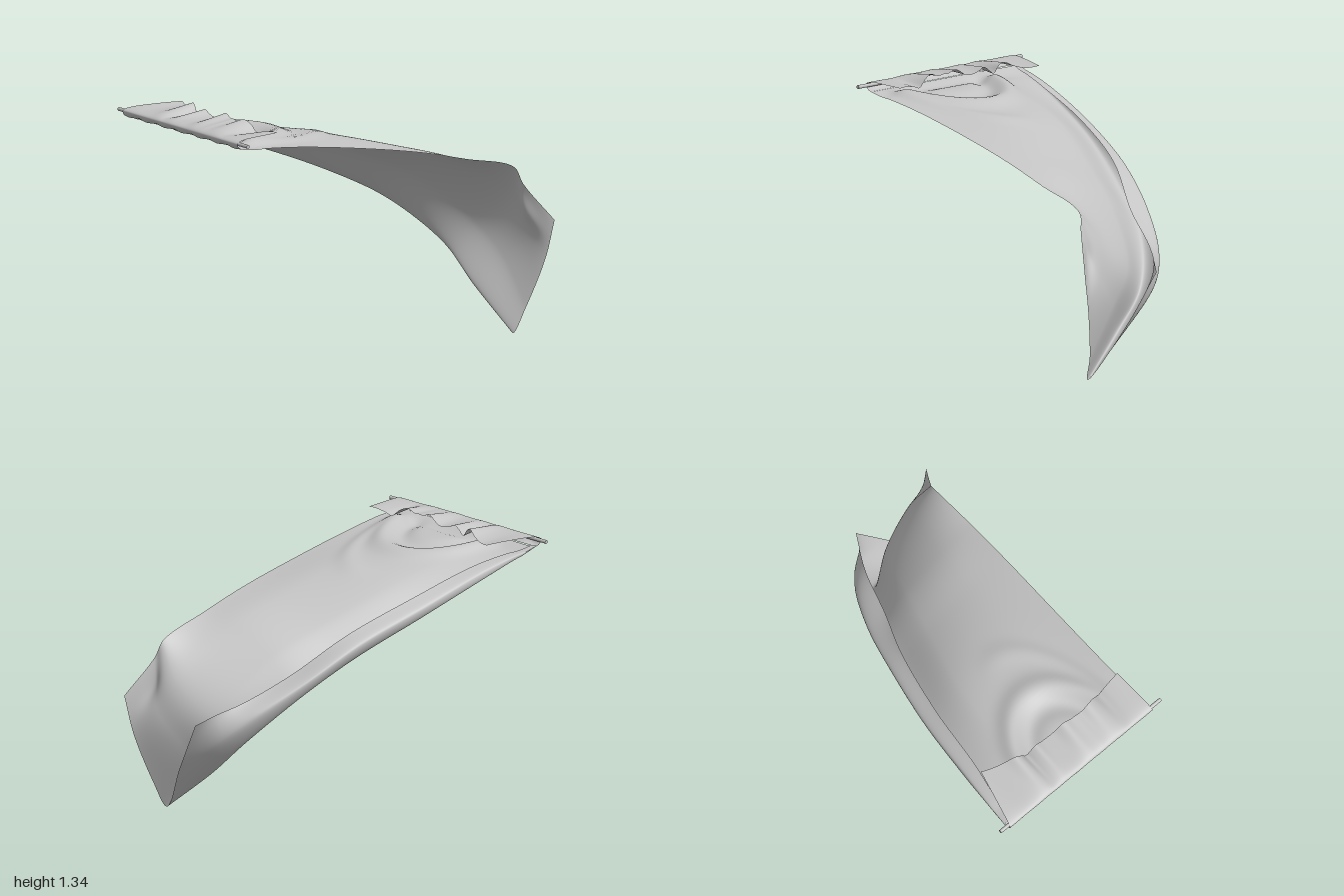
import * as THREE from 'three';

const V = (p) => new THREE.Vector3(...p);
const bump = (d, w) => Math.exp(-((d / w) ** 2));
const { lerp, smoothstep } = THREE.MathUtils;

// Builds an open sheet from a function of (u, v), both 0..1
function sheet(nu, nv, at) {
  const pos = [], index = [];
  for (let j = 0; j <= nv; j++) {
    for (let i = 0; i <= nu; i++) pos.push(...at(i / nu, j / nv).toArray());
  }
  for (let j = 0; j < nv; j++) {
    for (let i = 0; i < nu; i++) {
      const a = j * (nu + 1) + i, b = a + 1, c = a + nu + 1, d = c + 1;
      index.push(a, b, c, b, d, c);
    }
  }
  const g = new THREE.BufferGeometry();
  g.setAttribute('position', new THREE.Float32BufferAttribute(pos, 3));
  g.setIndex(index);
  g.computeVertexNormals();
  return g;
}

// Lengthwise guide lines of the cloth, from the rod to the hanging end
const guides = [
  // free edge on the model's left
  [[.45, 1.245, .95], [.45, 1.21, .6], [.46, 1.15, .2], [.475, 1.075, -.2],
    [.485, 1.0, -.5], [.492, .91, -.82], [.515, .82, -.86], [.605, .62, -1]],
  // broad upper face
  [[.12, 1.245, .95], [.12, 1.225, .6], [.15, 1.175, .2], [.21, 1.07, -.2],
    [.27, .965, -.5], [.36, .73, -.85], [.44, .56, -.925], [.56, .41, -.975]],
  [[-.25, 1.245, .95], [-.25, 1.21, .6], [-.2, 1.13, .2], [-.08, .98, -.2],
    [.02, .84, -.5], [.15, .56, -.81], [.31, .39, -.88], [.487, .14, -.9]],
  // lower fold
  [[-.555, 1.245, .95], [-.51, 1.14, .6], [-.43, 1.0, .2], [-.3, .83, -.2],
    [-.19, .66, -.5], [0, .42, -.73], [.2, .22, -.78], [.45, 0, -.84]],
  // flap that turns back up from the fold and curls over the upper face
  [[-.56, 1.25, .95], [-.515, 1.18, .6], [-.455, 1.06, .2], [-.355, .92, -.2],
    [-.25, .76, -.5], [-.11, .59, -.76], [.02, .46, -.88], [.27, .27, -.93]],
  [[-.53, 1.25, .95], [-.445, 1.2, .6], [-.375, 1.1, .2], [-.265, .96, -.2],
    [-.13, .775, -.5], [-.03, .66, -.76], [.04, .61, -.89], [.1, .56, -.99]],
].map((g) => new THREE.CatmullRomCurve3(g.map(V)));

function mainSheet() {
  const rows = new Map();
  return sheet(110, 120, (u, v) => {
    if (!rows.has(v)) rows.set(v, new THREE.CatmullRomCurve3(guides.map((g) => g.getPoint(v))));
    const p = rows.get(v).getPoint(u);
    // arched folds spreading from the rod, and the sag just behind it
    const fade = smoothstep(.95 - p.z, 0, .15) * bump(Math.max(0, u - .42), .1);
    const r = Math.hypot((p.x - .01) / .32, (p.z - .95) / .5);
    p.y += fade * (.03 * bump(r - .98, .14) - .022 * bump(r - .7, .13));
    const r2 = Math.hypot((p.x - .02) / .34, (p.z - .95) / .76);
    p.y += fade * .012 * bump(r2 - 1, .09) * smoothstep(p.x, -.1, .12);
    p.y -= .022 * bump(p.z - .87, .05) * bump(p.x + .05, .4);
    // pucker beside the rear corner
    p.z += .02 * bump(u - .1, .05) * bump(v - .88, .06);
    return p;
  });
}

// Hem that wraps round the rod and lies back on top in loose wrinkles
function hem() {
  const nose = .7;
  const edge = new THREE.CatmullRomCurve3([
    [.44, 0, .72], [.25, 0, .745], [.18, 0, .76], [-.05, 0, .745],
    [-.24, 0, .74], [-.33, 0, .71], [-.47, 0, .66]].map(V));
  return sheet(130, 44, (u, v) => {
    const e = edge.getPoint(u), x0 = lerp(.45, -.555, u);
    // under the rod: quarter turn from the front of the wrap to the main sheet
    if (v > nose) {
      const a = (v - nose) / (1 - nose) * Math.PI / 2;
      const ripple = .005 * Math.sin(x0 * 41 + 1) * Math.sin(2 * a);
      return new THREE.Vector3(x0, 1.278 - .033 * Math.sin(a) + ripple, .95 + .042 * Math.cos(a));
    }
    // over the rod and back to the free edge
    const t = Math.sin(v / nose * Math.PI / 2);
    const x = lerp(e.x, x0, t);
    const wave = .035 * bump(x + .28, .045) + .022 * bump(x + .16, .03)
      + .036 * bump(x - .03, .05) + .036 * bump(x - .19, .06) + .018 * bump(x - .11, .03)
      - .022 * bump(x + .225, .02) - .02 * bump(x - .29, .03) + .005 * Math.sin(x * 34);
    const y = 1.278 + .022 * Math.sqrt(Math.max(0, 1 - t ** 8)) + (1 - t) * wave;
    return new THREE.Vector3(x, y, lerp(e.z, .992, t));
  });
}

export function createModel() {
  const group = new THREE.Group();
  const gray = new THREE.MeshStandardMaterial({ color: 0xc4c4c4, side: THREE.DoubleSide });
  gray.name = 'plain gray';
  const add = (name, geometry) => {
    const mesh = new THREE.Mesh(geometry, gray);
    mesh.name = name;
    group.add(mesh);
    return mesh;
  };

  add('clothSheet', mainSheet());
  add('clothHem', hem());

  // rod carrying the cloth
  const rod = add('rod', new THREE.CylinderGeometry(.01, .01, 1.13, 20));
  rod.rotation.z = Math.PI / 2;
  rod.position.set(-.045, 1.277, .975);
  return group;
}
